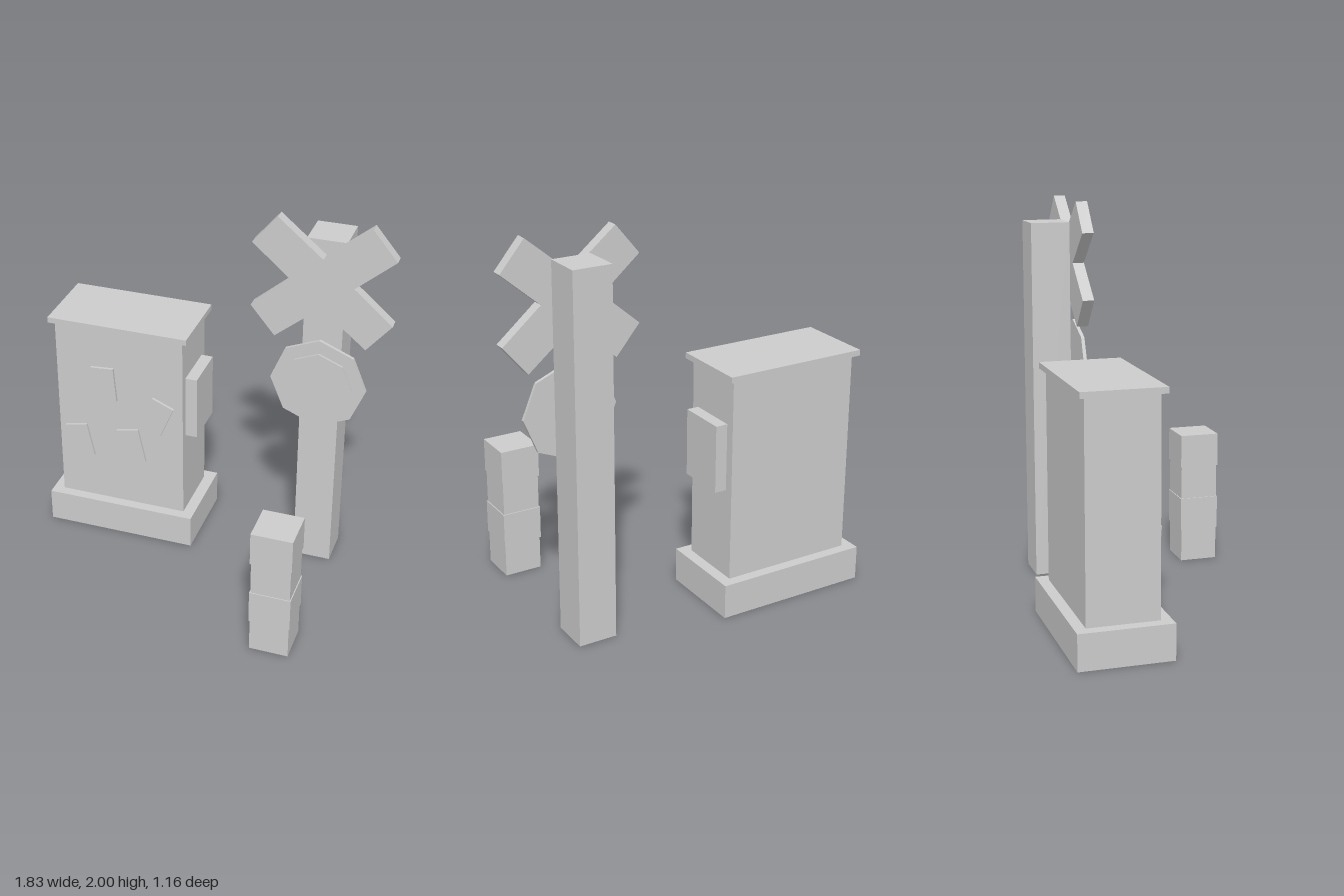
import * as THREE from 'three';

const concreteGrey = new THREE.MeshStandardMaterial({ color: 0xcccccc });

function add(parent, name, geometry, x = 0, y = 0, z = 0) {
  const mesh = new THREE.Mesh(geometry, concreteGrey);
  mesh.name = name;
  mesh.position.set(x, y, z);
  parent.add(mesh);
  return mesh;
}

// Box given by its limits on each axis
function box(parent, name, [x0, x1], [y0, y1], [z0, z1]) {
  return add(parent, name, new THREE.BoxGeometry(x1 - x0, y1 - y0, z1 - z0),
    (x0 + x1) / 2, (y0 + y1) / 2, (z0 + z1) / 2);
}

function group(parent, name) {
  const g = new THREE.Group();
  g.name = name;
  parent.add(g);
  return g;
}

// Octagonal plate facing +z with a corner pointing up
function octagon(parent, name, radius, x, y, z0, z1) {
  const geometry = new THREE.CylinderGeometry(radius, radius, z1 - z0, 8).toNonIndexed();
  geometry.rotateX(Math.PI / 2);
  geometry.computeVertexNormals();
  add(parent, name, geometry, x, y, (z0 + z1) / 2);
}

export function createModel() {
  const model = new THREE.Group();
  model.name = 'railwayCrossingSet';

  // Equipment cabinet with plinth, lid and side box
  const cabinet = group(model, 'cabinet');
  box(cabinet, 'plinth', [-0.915, -0.093], [0, 0.18], [-0.58, -0.115]);
  box(cabinet, 'cabinetBody', [-0.857, -0.153], [0.18, 1.24], [-0.525, -0.17]);
  box(cabinet, 'lid', [-0.885, -0.123], [1.24, 1.27], [-0.552, -0.143]);
  box(cabinet, 'sideBox', [-0.153, -0.09], [0.65, 1.0], [-0.477, -0.215]);

  // Notices stuck on the front at odd angles: x, y, tilt in degrees
  const notices = [[-0.59, 0.912, 4.5], [-0.298, 0.764, -23], [-0.74, 0.532, 12], [-0.445, 0.554, 12]];
  for (const [x, y, tilt] of notices) {
    const notice = add(cabinet, 'notice', new THREE.BoxGeometry(0.127, 0.196, 0.016), x, y, -0.163);
    notice.rotation.z = THREE.MathUtils.degToRad(tilt);
  }

  // Post carrying the crossed boards and the round sign
  const signal = group(model, 'crossingSign');
  box(signal, 'post', [0.455, 0.655], [0, 1.885], [-0.448, -0.245]);

  // Crossed boards: one quadrant mirrored into a closed outline
  const a = [[0.157, 0], [0.355, 0.17], [0.23, 0.32], [0, 0.13]];
  const mirrorX = ([x, y]) => [-x, y];
  const mirrorY = ([x, y]) => [x, -y];
  const top = [...a, ...a.slice(0, 3).reverse().map(mirrorX)];
  const outline = [...top, ...top.slice(1, -1).reverse().map(mirrorY)];
  const cross = new THREE.Shape(outline.map(([x, y]) => new THREE.Vector2(x, y)));
  add(signal, 'crossedBoards', new THREE.ExtrudeGeometry(cross, { depth: 0.06, bevelEnabled: false }),
    0.555, 1.68, -0.245);

  octagon(signal, 'signRim', 0.246, 0.555, 1.12, -0.208, -0.19);
  octagon(signal, 'signFace', 0.175, 0.555, 1.12, -0.19, -0.18);

  // Bollard of four stacked blocks, alternately narrow and wide
  const bollard = group(model, 'bollard');
  const blockHeight = 0.71 / 4;
  for (let i = 0; i < 4; i++) {
    const half = i % 2 ? 0.105 : 0.1;
    box(bollard, 'bollardBlock', [0.555 - half, 0.555 + half],
      [i * blockHeight, (i + 1) * blockHeight], [0.475 - half, 0.475 + half]);
  }

  return model;
}
